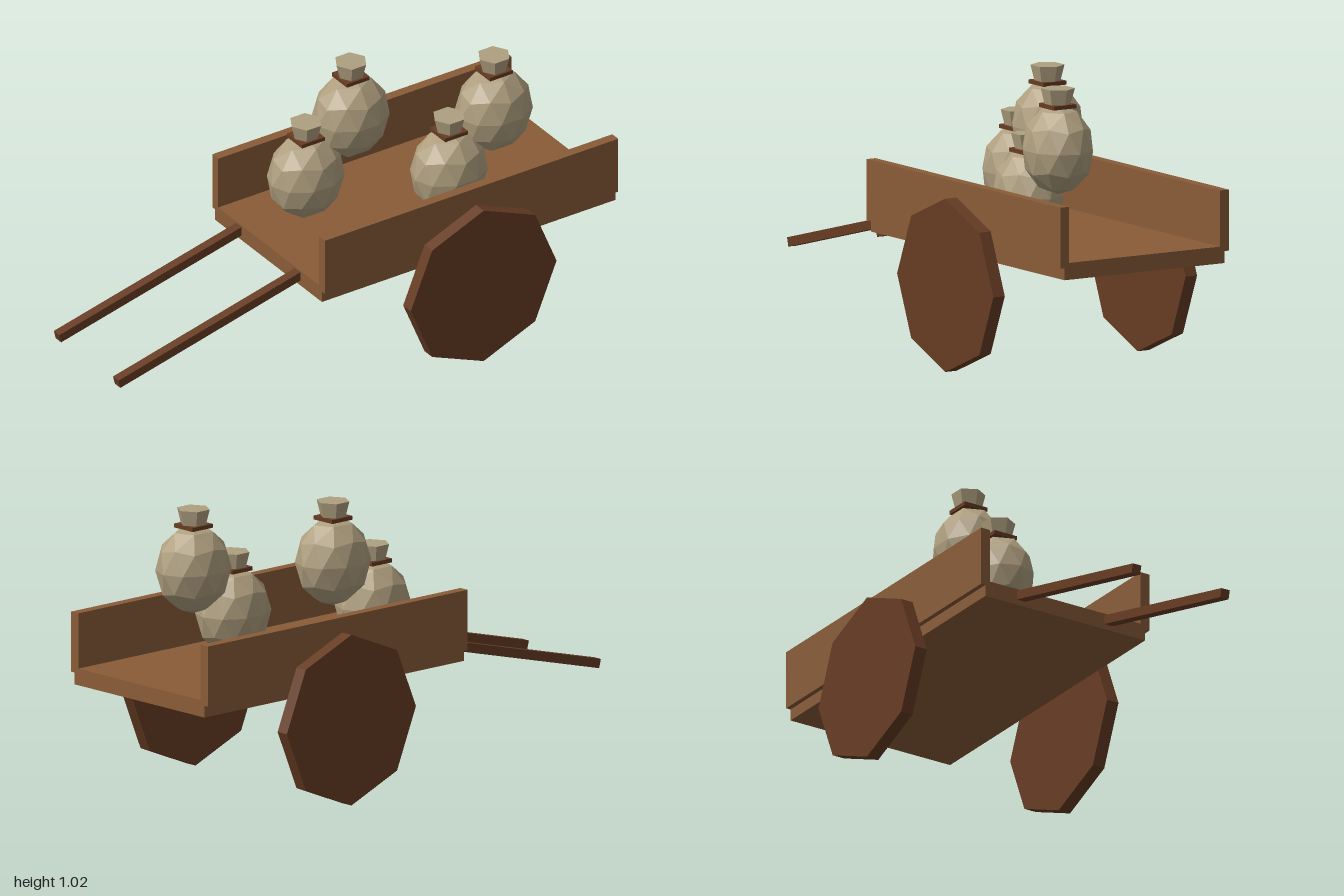
import * as THREE from 'three';

export function createModel() {
  const model = new THREE.Group();
  model.name = 'handcart';
  const mat = (name, color) => {
    const m = new THREE.MeshStandardMaterial({ color, flatShading: true });
    m.name = name;
    return m;
  };
  const wood = mat('plankWood', 0x8a5c38);
  const darkWood = mat('darkWood', 0x673c23);
  const cloth = mat('sackCloth', 0xaf9f7f);

  const add = (parent, name, geometry, material, x, y, z) => {
    const mesh = new THREE.Mesh(geometry, material);
    mesh.name = name;
    mesh.position.set(x, y, z);
    parent.add(mesh);
    return mesh;
  };

  // Bed and side walls
  add(model, 'bed', new THREE.BoxGeometry(1.24, 0.06, 0.671), wood, 0.38, 0.435, -0.003);
  const wall = new THREE.BoxGeometry(1.24, 0.217, 0.037);
  add(model, 'leftWall', wall, wood, 0.38, 0.556, 0.332);
  add(model, 'rightWall', wall, wood, 0.38, 0.556, -0.338);

  // Solid eight-sided wheels
  const wheel = new THREE.CylinderGeometry(0.308, 0.308, 0.048, 8).rotateX(Math.PI / 2);
  for (const side of [1, -1]) {
    add(model, side > 0 ? 'frontWheel' : 'backWheel', wheel, darkWood, 0.38, 0.309, side * 0.403);
  }

  // Sloping pull handles
  const addHandle = (name, zTip, zBed) => {
    const tip = new THREE.Vector3(-0.997, 0.249, zTip);
    const end = new THREE.Vector3(-0.22, 0.447, zBed);
    const handle = add(model, name, new THREE.BoxGeometry(0.035, 0.033, tip.distanceTo(end)), darkWood, 0, 0, 0);
    handle.position.lerpVectors(tip, end, 0.5);
    handle.lookAt(end);
  };
  addHandle('frontHandle', 0.168, 0.18);
  addHandle('backHandle', -0.204, -0.189);

  // Sacks: faceted body with a vertex at each pole, square tie, flared neck
  const body = new THREE.IcosahedronGeometry(1, 1)
    .rotateX(-Math.atan2((1 + Math.sqrt(5)) / 2, 1))
    .scale(0.144, 0.16, 0.122);
  const tie = new THREE.BoxGeometry(0.096, 0.014, 0.096);
  const neck = new THREE.CylinderGeometry(0.06, 0.045, 0.06, 6, 1, false, Math.PI / 2);
  const sacks = [
    [0.0, 0.615, -0.126], [0.19, 0.8, -0.126],
    [0.44, 0.615, 0.119], [0.63, 0.8, 0.119],
  ];
  for (const [x, y, z] of sacks) {
    const sack = new THREE.Group();
    sack.name = 'sack';
    sack.position.set(x, y, z);
    add(sack, 'sackBody', body, cloth, 0, 0, 0);
    add(sack, 'sackTie', tie, darkWood, 0, 0.155, 0);
    add(sack, 'sackNeck', neck, cloth, 0, 0.187, 0);
    model.add(sack);
  }
  return model;
}
